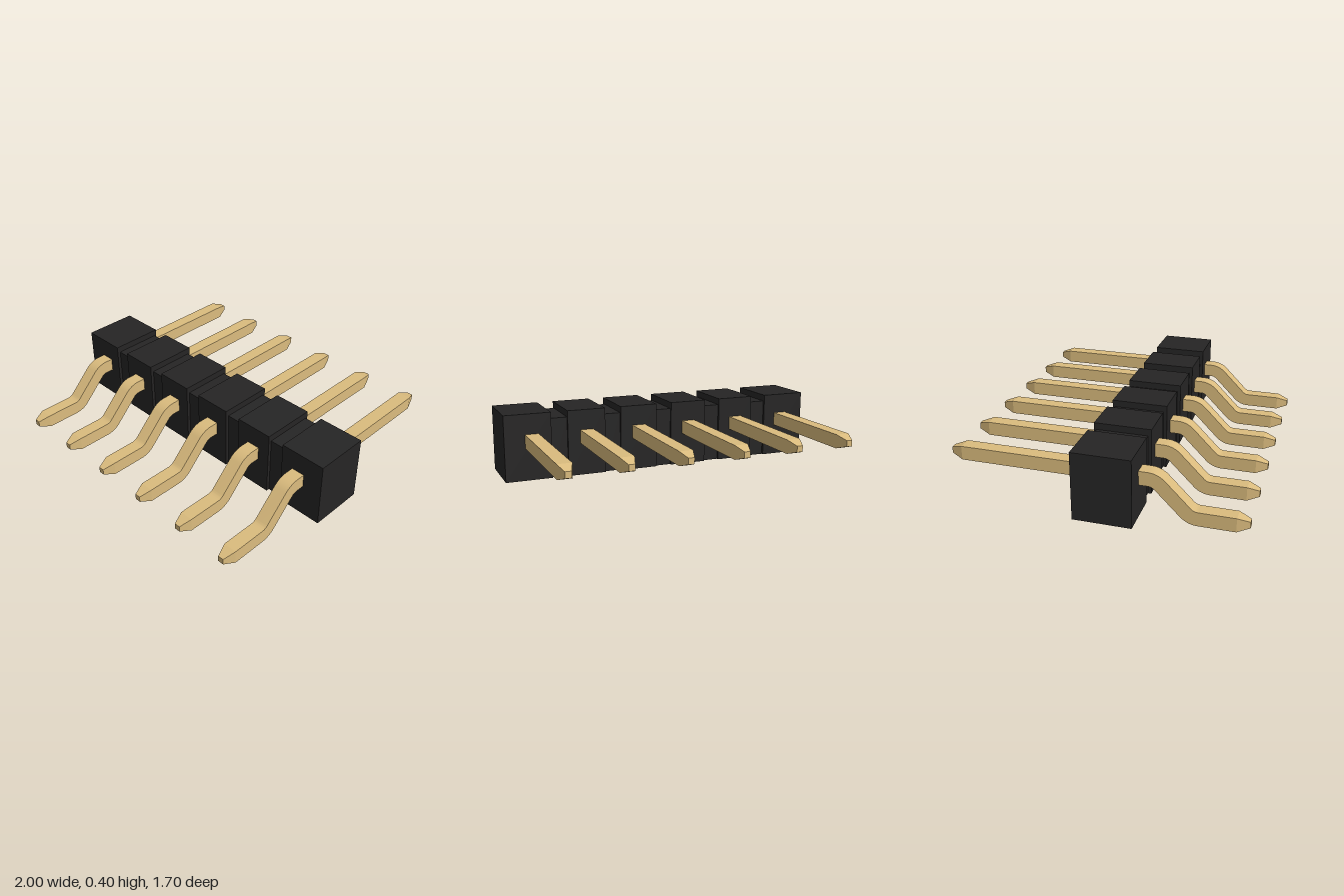
import * as THREE from 'three';
import { toCreasedNormals } from 'three/addons/utils/BufferGeometryUtils.js';

const PINS = 6, PITCH = 1 / 2.99;
const HALF = 0.041, TIP = 0.018;      // half thickness of a pin and of its tip
const HIGH = 0.237, LOW = 0.041;      // centre heights of the two straight runs
const BEND = 0.094, BEND_START = 0.3; // bend radius and where the first bend begins

// Centre line of a pin from back to front: z, y, slope angle, half thickness
function pinStations() {
  const s = [[-0.85, HIGH, 0, TIP], [-0.78, HIGH, 0, HALF]];
  const steps = 8, drop = HIGH - LOW;
  const end = BEND_START + drop + 2 * BEND * (Math.SQRT2 - 1);
  for (let i = 0; i <= steps; i++) {
    const a = (i / steps) * Math.PI / 4;
    s.push([BEND_START + BEND * Math.sin(a), HIGH - BEND * (1 - Math.cos(a)), a, HALF]);
  }
  for (let i = steps; i >= 0; i--) {
    const a = (i / steps) * Math.PI / 4;
    s.push([end - BEND * Math.sin(a), LOW + BEND * (1 - Math.cos(a)), a, HALF]);
  }
  s.push([0.78, LOW, 0, HALF], [0.85, LOW, 0, TIP]);
  return s;
}

// Square section swept along the centre line, with tapered ends
function pinGeometry() {
  const pos = [], idx = [], stations = pinStations();
  const corners = [[1, 1], [-1, 1], [-1, -1], [1, -1]];
  stations.forEach(([z, y, a, h], i) => {
    for (const [u, v] of corners)
      pos.push(u * h, y + v * h * Math.cos(a), z + v * h * Math.sin(a));
    if (i === 0) return;
    for (let j = 0; j < 4; j++) {
      const p = (i - 1) * 4 + j, q = (i - 1) * 4 + (j + 1) % 4;
      idx.push(p, q, q + 4, p, q + 4, p + 4);
    }
  });
  const e = (stations.length - 1) * 4;
  idx.push(0, 2, 1, 0, 3, 2, e, e + 1, e + 2, e, e + 2, e + 3);
  const g = new THREE.BufferGeometry();
  g.setAttribute('position', new THREE.Float32BufferAttribute(pos, 3));
  g.setIndex(idx);
  return toCreasedNormals(g, 0.25);
}

export function createModel() {
  const model = new THREE.Group();
  model.name = 'pinHeader';
  const plastic = new THREE.MeshStandardMaterial({ name: 'black plastic', color: 0x262525 });
  const gold = new THREE.MeshStandardMaterial({ name: 'gold metal', color: 0xdbbc7e });

  // Box given by its extents, standing on the ground
  const block = (name, x0, x1, height, z0, z1) => {
    const m = new THREE.Mesh(new THREE.BoxGeometry(x1 - x0, height, z1 - z0), plastic);
    m.position.set((x0 + x1) / 2, height / 2, (z0 + z1) / 2);
    m.name = name;
    model.add(m);
  };

  const pinGeo = pinGeometry();
  for (let i = 0; i < PINS; i++) {
    const x = (i - (PINS - 1) / 2) * PITCH;

    // Housing block; the two end blocks reach out to the full width
    const left = i === 0 ? -1 : x - 0.117;
    const right = i === PINS - 1 ? 1 : x + 0.117;
    block('housingBlock', left, right, 0.4, -0.085, 0.25);

    // Recessed web to the next block
    if (i < PINS - 1) block('housingWeb', right, x + PITCH - 0.117, 0.36, -0.07, 0.23);

    const pin = new THREE.Mesh(pinGeo, gold);
    pin.position.x = x;
    pin.name = 'pin';
    model.add(pin);
  }
  return model;
}
